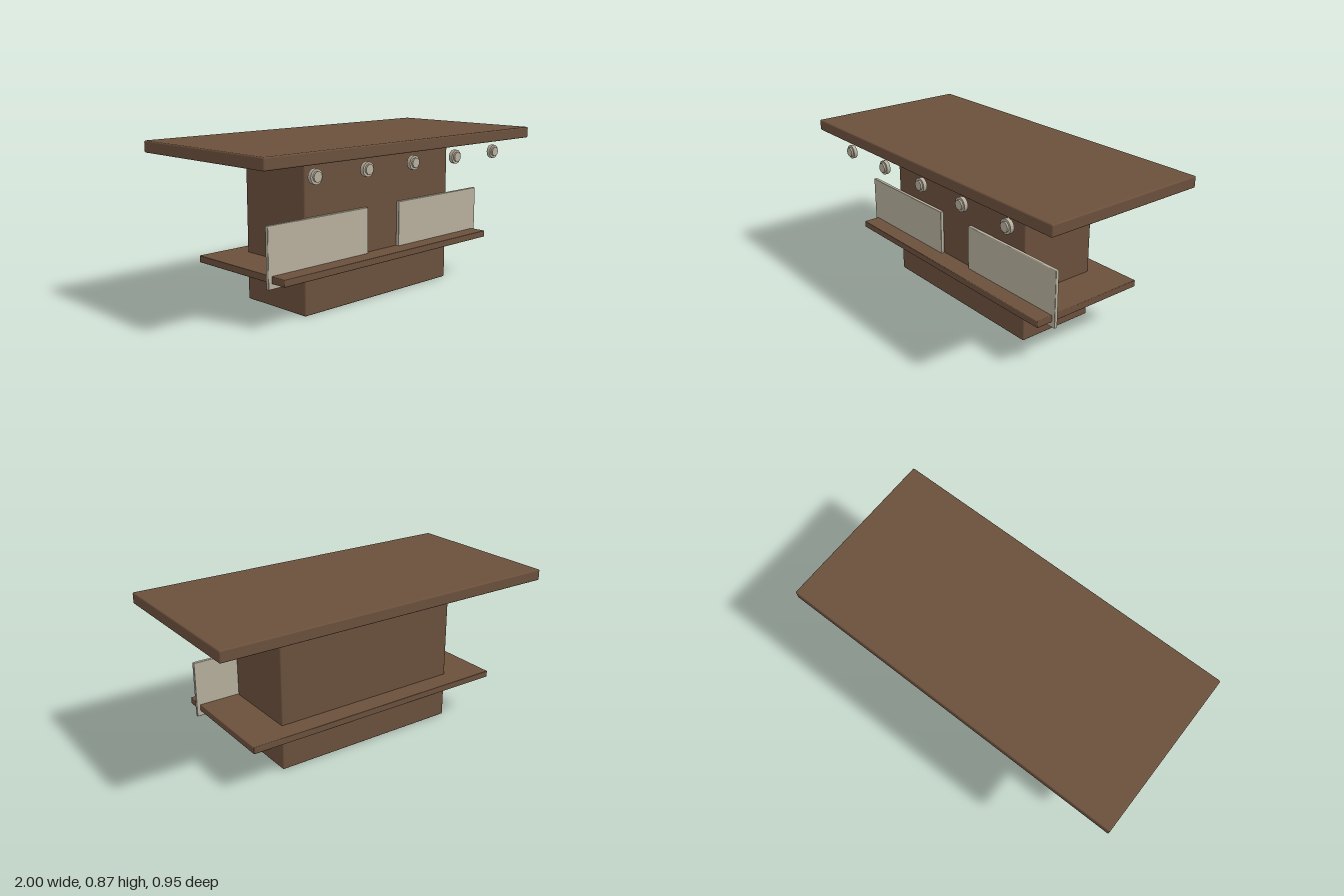
import * as THREE from 'three';
import { RoundedBoxGeometry } from 'three/addons/geometries/RoundedBoxGeometry.js';

export function createModel() {
  const model = new THREE.Group();
  model.name = 'counter';
  const wood = new THREE.MeshStandardMaterial({ name: 'brown wood', color: 0x6b503c });
  const pale = new THREE.MeshStandardMaterial({ name: 'pale grey', color: 0xb8b09e });

  // softly bevelled slab from its size and centre
  function slab(name, material, size, centre, bevel) {
    const mesh = new THREE.Mesh(new RoundedBoxGeometry(...size, 2, bevel), material);
    mesh.name = name;
    mesh.position.set(...centre);
    model.add(mesh);
  }

  // wooden body, top and shelf
  slab('body', wood, [1.1, 0.805, 0.456], [0, 0.4025, 0], 0.008);
  slab('counterTop', wood, [2, 0.062, 0.95], [0, 0.838, 0], 0.008);
  slab('shelf', wood, [1.56, 0.037, 0.684], [0, 0.24, 0], 0.004);

  // pale front panels
  for (const side of [-1, 1]) {
    slab(side > 0 ? 'leftPanel' : 'rightPanel', pale, [0.68, 0.313, 0.02], [side * 0.46, 0.349, 0.239], 0.004);
  }

  // row of round lamps under the front edge: housing and smaller lens
  const housing = new THREE.CylinderGeometry(0.038, 0.038, 0.021, 12).rotateX(Math.PI / 2);
  const lens = new THREE.CylinderGeometry(0.026, 0.026, 0.01, 12).rotateX(Math.PI / 2);
  for (let i = -2; i <= 2; i++) {
    const lamp = new THREE.Group();
    lamp.name = 'lamp';
    lamp.position.set(i * 0.34, 0.75, 0.4515);
    const base = new THREE.Mesh(housing, pale);
    base.name = 'lampHousing';
    const front = new THREE.Mesh(lens, pale);
    front.name = 'lampLens';
    front.position.z = 0.0155;
    lamp.add(base, front);
    model.add(lamp);
  }
  return model;
}
